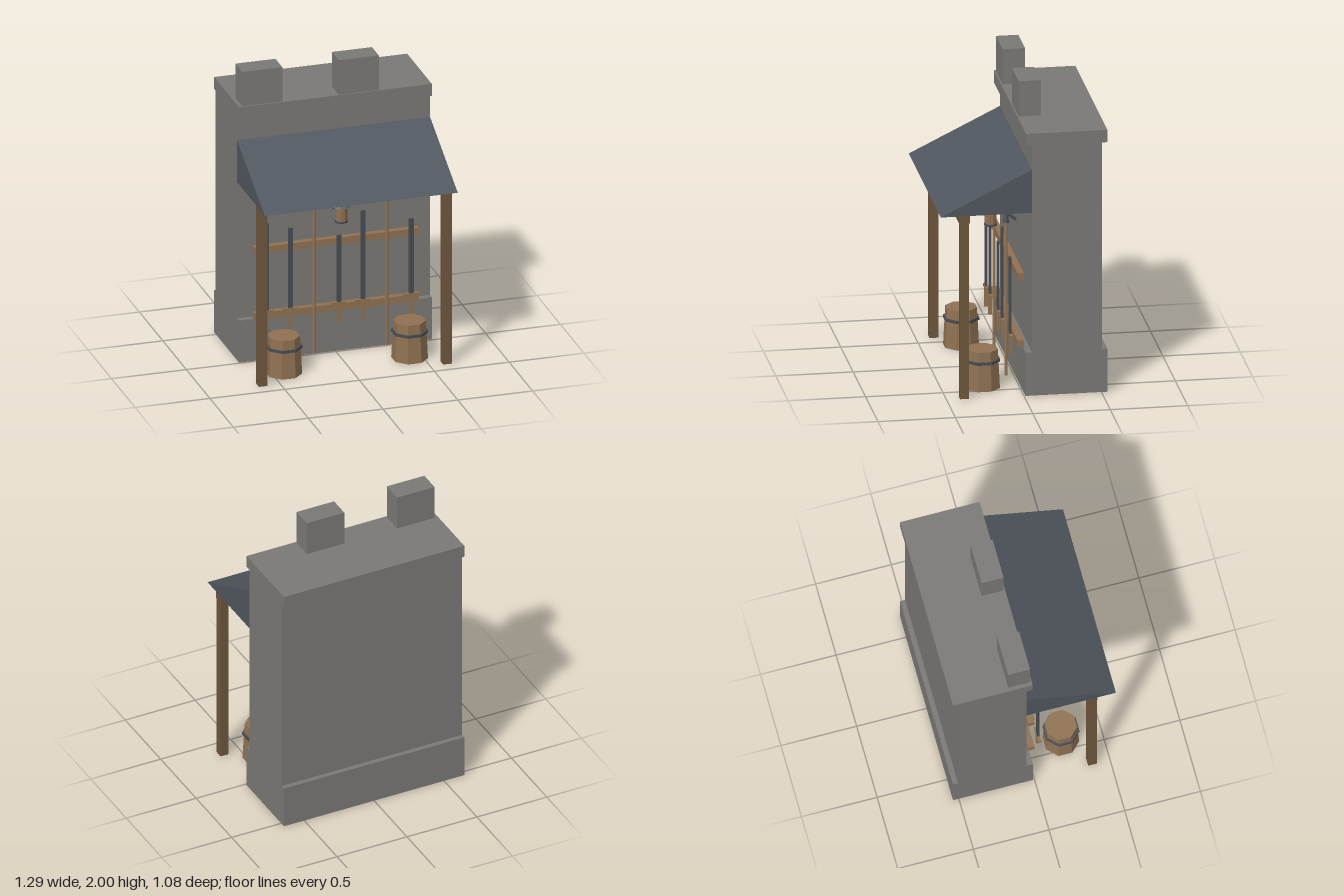
import * as THREE from 'three';

export function createModel() {
  const model = new THREE.Group();
  const material = (name, color) => {
    const m = new THREE.MeshStandardMaterial({ color, flatShading: true });
    m.name = name;
    return m;
  };
  const stone = material('stone', 0x7a7875);
  const slate = material('slate', 0x50565e);
  const darkWood = material('dark wood', 0x6d563d);
  const wood = material('wood', 0x8f7152);
  const iron = material('iron', 0x484c52);

  const add = (name, geometry, mat, x = 0, y = 0, z = 0, parent = model) => {
    const mesh = new THREE.Mesh(geometry, mat);
    mesh.name = name;
    mesh.position.set(x, y, z);
    parent.add(mesh);
    return mesh;
  };
  // Box given by its minimum and maximum on each axis
  const box = (name, mat, x0, x1, y0, y1, z0, z1, parent) =>
    add(name, new THREE.BoxGeometry(x1 - x0, y1 - y0, z1 - z0), mat,
      (x0 + x1) / 2, (y0 + y1) / 2, (z0 + z1) / 2, parent);
  // Tapered prism standing between two heights
  const prism = (name, mat, rTop, rBottom, sides, x, y0, y1, z, parent, turn = Math.PI / sides) => {
    const g = new THREE.CylinderGeometry(rTop, rBottom, y1 - y0, sides);
    g.rotateY(turn);
    return add(name, g, mat, x, (y0 + y1) / 2, z, parent);
  };
  const group = (name) => {
    const g = new THREE.Group();
    g.name = name;
    model.add(g);
    return g;
  };

  // Wall with plinth, coping and chimneys
  const W = 0.645;
  box('wall', stone, -W, W, 0.29, 1.68, -0.505, -0.053);
  box('plinth', stone, -W, W, 0, 0.29, -0.538, -0.01);
  box('coping', stone, -W, W, 1.68, 1.763, -0.538, -0.012);
  for (const x of [-0.62, 0.025]) box('chimney', stone, x, x + 0.268, 1.763, 2, -0.167, -0.022);

  // Solid lean-to roof
  const profile = new THREE.Shape([
    new THREE.Vector2(0.053, 1.23), new THREE.Vector2(0.053, 1.52), new THREE.Vector2(-0.538, 1.23),
  ]);
  const roof = new THREE.ExtrudeGeometry(profile, { depth: 2 * W, bevelEnabled: false });
  roof.translate(0, 0, -W);
  roof.rotateY(Math.PI / 2);
  add('roof', roof, slate);

  // Porch frame
  for (const x of [-W, W - 0.058]) box('post', darkWood, x, x + 0.058, 0, 1.18, 0.355, 0.412);
  box('beam', darkWood, -W, W, 1.18, 1.23, 0.35, 0.418);

  // Weapon rack rails
  for (const y of [0.295, 0.75]) box('rackRail', wood, -0.55, 0.545, y, y + 0.045, -0.016, 0.026);

  // Swords: x and height of the tip
  for (const [x, tip] of [[-0.485, 0.97], [-0.325, 0.92], [0, 0.83], [0.16, 0.98], [0.483, 0.885]]) {
    const sword = group('sword');
    box('blade', iron, x - 0.015, x + 0.015, 0.37, tip, 0.057, 0.071, sword);
    box('guard', wood, x - 0.051, x + 0.051, 0.353, 0.371, 0.053, 0.075, sword);
    box('grip', wood, x - 0.01, x + 0.01, 0.23, 0.353, 0.054, 0.074, sword);
  }

  // Spears
  for (const x of [-0.165, 0.32]) {
    const spear = group('spear');
    prism('shaft', wood, 0.011, 0.011, 6, x, 0.035, 1.07, 0.064, spear);
    prism('spearHead', iron, 0, 0.024, 6, x, 1.065, 1.185, 0.064, spear);
  }

  // Hanging lantern on a braced bracket
  const lantern = group('lantern');
  prism('lanternBody', wood, 0.039, 0.039, 8, 0, 0.955, 1.055, 0.113, lantern);
  prism('lanternBase', iron, 0.044, 0.044, 8, 0, 0.943, 0.955, 0.113, lantern);
  prism('lanternRoof', slate, 0.008, 0.065, 8, 0, 1.052, 1.098, 0.113, lantern);
  box('arm', iron, -0.01, 0.01, 1.07, 1.092, -0.053, 0.115, lantern);
  const brace = add('brace', new THREE.BoxGeometry(0.018, 0.016, 0.138), iron, 0, 1.013, 0.005, lantern);
  brace.rotation.x = -0.64;

  // Barrels with iron hoops
  for (const x of [-0.423, 0.418]) {
    const barrel = group('barrel');
    prism('staves', wood, 0.104, 0.118, 8, x, 0, 0.26, 0.235, barrel);
    prism('hoop', iron, 0.119, 0.119, 8, x, 0.178, 0.196, 0.235, barrel);
  }
  return model;
}
